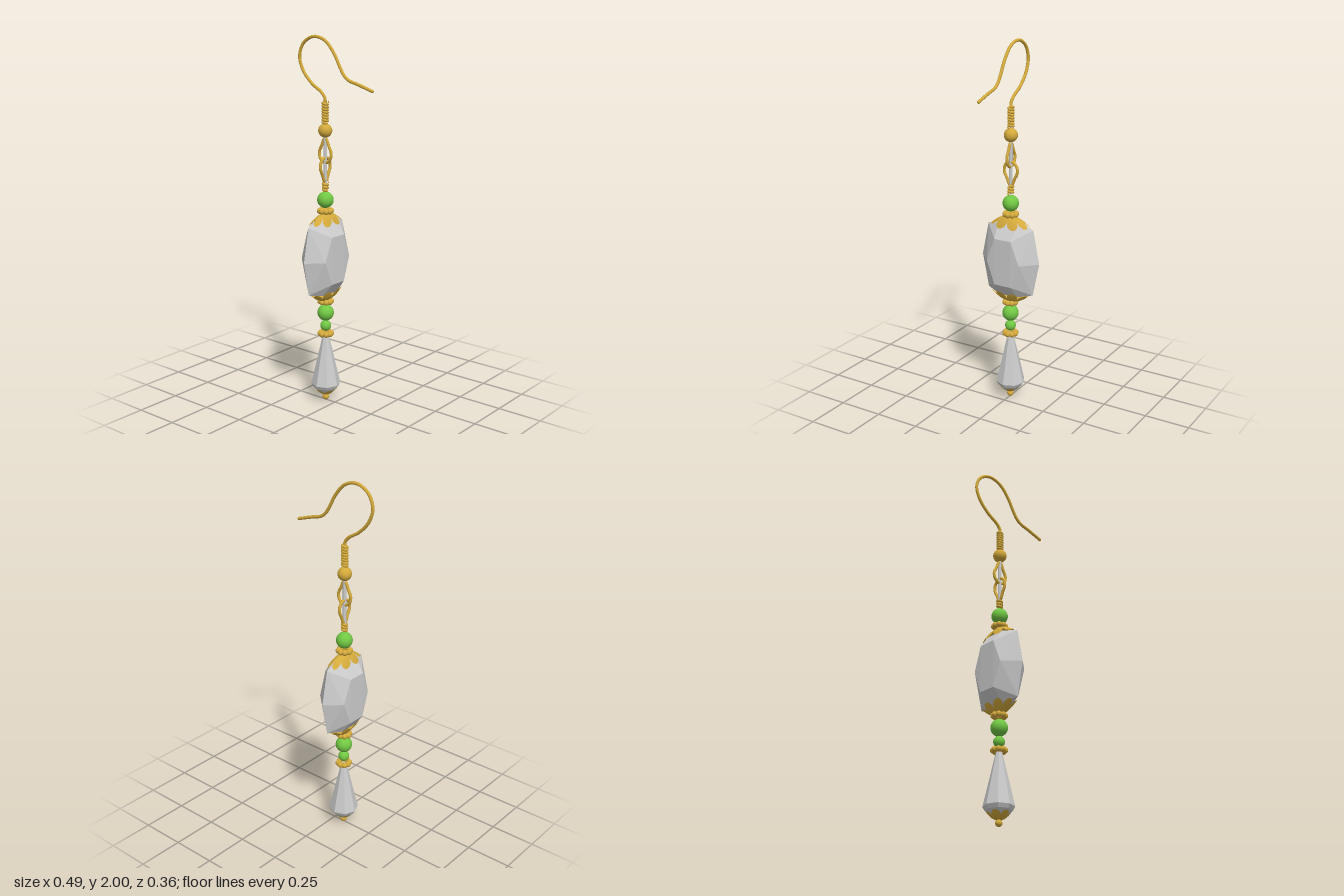
import * as THREE from 'three';
import { ConvexGeometry } from 'three/addons/geometries/ConvexGeometry.js';

const AXIS = -0.065; // x of the hanging axis
const gold = new THREE.MeshStandardMaterial({ color: 0xd4aa3c });
const goldLeaf = new THREE.MeshStandardMaterial({ color: 0xd4aa3c, side: THREE.DoubleSide });
const green = new THREE.MeshStandardMaterial({ color: 0x72c844 });
const grey = new THREE.MeshStandardMaterial({ color: 0xcccccc });
const facet = new THREE.MeshStandardMaterial({ color: 0xcccccc, flatShading: true });

const V = (x, y, z = 0) => new THREE.Vector3(x, y, z);

function part(parent, name, geometry, material, y = 0) {
  const mesh = new THREE.Mesh(geometry, material);
  mesh.name = name;
  mesh.position.y = y;
  parent.add(mesh);
  return mesh;
}

function wire(points, radius, closed = false, segments = 80) {
  const curve = new THREE.CatmullRomCurve3(points, closed);
  return new THREE.TubeGeometry(curve, segments, radius, 10, closed);
}

// Tightly wound wire
function coil(y0, y1, turns, radius, wireRadius) {
  const points = [];
  for (let i = 0; i <= turns * 12; i++) {
    const a = (i / 12) * Math.PI * 2;
    points.push(V(Math.cos(a) * radius, y0 + (y1 - y0) * i / (turns * 12), Math.sin(a) * radius));
  }
  return wire(points, wireRadius, false, turns * 16);
}

// Ring of small beads
function spacer(parent, y) {
  const group = new THREE.Group();
  group.name = 'spacerRing';
  group.position.y = y;
  for (let i = 0; i < 8; i++) {
    const a = (i / 8) * Math.PI * 2;
    const bead = part(group, 'spacerBead', new THREE.SphereGeometry(0.016, 14, 10), gold);
    bead.position.set(Math.cos(a) * 0.03, 0, Math.sin(a) * 0.03);
  }
  const core = part(group, 'spacerCore', new THREE.TorusGeometry(0.024, 0.012, 10, 24), gold);
  core.rotation.x = Math.PI / 2;
  parent.add(group);
}

// Petalled sheet: elliptical outline with lobes, height given by a rule
function petalCap(a, b, petals, height) {
  const rings = 10, around = 144, pos = [], index = [];
  for (let j = 0; j <= rings; j++) {
    for (let i = 0; i <= around; i++) {
      const t = (i / around) * Math.PI * 2;
      const lobe = 0.64 + 0.36 * Math.sqrt(Math.abs(Math.sin(t * petals / 2)));
      const x = a * Math.cos(t) * lobe * j / rings;
      const z = b * Math.sin(t) * lobe * j / rings;
      pos.push(x, height(x, z), z);
      if (j < rings && i < around) {
        const p = j * (around + 1) + i, q = p + around + 1;
        index.push(p, p + 1, q, q, p + 1, q + 1);
      }
    }
  }
  const g = new THREE.BufferGeometry();
  g.setAttribute('position', new THREE.Float32BufferAttribute(pos, 3));
  g.setIndex(index);
  g.computeVertexNormals();
  return g;
}

// Flattened faceted stone, symmetric in all three directions
function stoneGeometry() {
  const corners = [
    [0, 0, 0.178], [0.083, 0, 0.1], [0.087, 0.13, 0.05],
    [0, 0.185, 0.14], [0.033, 0.2, 0.06], [0, 0.22, 0],
  ];
  const points = new Map();
  for (const [x, y, z] of corners)
    for (const sx of [-1, 1]) for (const sy of [-1, 1]) for (const sz of [-1, 1]) {
      const p = V(x * sx || 0, y * sy || 0, z * sz || 0);
      points.set(p.toArray().join(), p);
    }
  return new ConvexGeometry([...points.values()]);
}

export function createModel() {
  const model = new THREE.Group();
  model.name = 'earring';

  // Ear wire
  const hook = [[-0.065, 1.645], [-0.067, 1.68], [-0.09, 1.708], [-0.155, 1.75], [-0.215, 1.815], [-0.238, 1.885],
    [-0.215, 1.95], [-0.165, 1.985], [-0.118, 1.991], [-0.06, 1.97], [-0.005, 1.91], [0.035, 1.84],
    [0.06, 1.803], [0.09, 1.78], [0.15, 1.763], [0.24, 1.735]].map(p => V(...p));
  part(model, 'earHook', wire(hook, 0.0085, false, 140), gold);
  const tip = part(model, 'hookTip', new THREE.SphereGeometry(0.0087, 12, 8), gold, 1.735);
  tip.position.x = 0.24;

  const drop = new THREE.Group();
  drop.name = 'pendant';
  drop.position.x = AXIS;
  model.add(drop);

  // Hook coil and bead
  part(drop, 'hookCoil', coil(1.548, 1.662, 8, 0.012, 0.0075), gold);
  part(drop, 'hookBead', new THREE.SphereGeometry(0.037, 28, 20), gold, 1.51);

  // Central pin and two linked loops at right angles
  part(drop, 'pin', new THREE.CylinderGeometry(0.01, 0.01, 0.29, 12), grey, 1.335);
  const half = [[0.007, 0.07], [0.024, 0.035], [0.04, 0], [0.036, -0.03], [0.018, -0.05]];
  const loop = [...half.map(([x, y]) => V(x, y)), V(0, -0.055),
    ...half.slice().reverse().map(([x, y]) => V(-x, y))];
  part(drop, 'upperLoop', wire(loop, 0.008, true), gold, 1.395);
  const lower = part(drop, 'lowerLoop', wire(loop, 0.008, true), gold, 1.312);
  lower.rotation.set(0, Math.PI / 2, Math.PI);
  part(drop, 'loopCoil', coil(1.19, 1.238, 3, 0.011, 0.008), gold);

  // Round beads
  for (const [y, r] of [[1.14, 0.044], [0.51, 0.045], [0.435, 0.03]])
    part(drop, 'greenBead', new THREE.SphereGeometry(r, 32, 22), green, y);
  for (const y of [1.08, 0.575, 0.39]) spacer(drop, y);

  // Large stone with a petal cap above and below
  part(drop, 'largeStone', stoneGeometry(), facet, 0.825);
  const capShape = petalCap(0.058, 0.117, 8, (x, z) => 0.246 - 20 * x * x - 3.9 * z * z);
  part(drop, 'upperPetalCap', capShape, goldLeaf, 0.825);
  part(drop, 'lowerPetalCap', capShape, goldLeaf, 0.825).rotation.x = Math.PI;

  // Faceted teardrop, its petal cap and end bead
  const profile = [[0, 0.04], [0.035, 0.045], [0.07, 0.08], [0.081, 0.1], [0.014, 0.39], [0, 0.39]]
    .map(p => new THREE.Vector2(...p));
  part(drop, 'teardrop', new THREE.LatheGeometry(profile, 8).toNonIndexed(), facet);
  part(drop, 'endPetalCap', petalCap(0.062, 0.062, 6, (x, z) => 0.032 + 10.5 * (x * x + z * z)), goldLeaf);
  part(drop, 'endBead', new THREE.SphereGeometry(0.018, 18, 14), gold, 0.018);

  return model;
}
